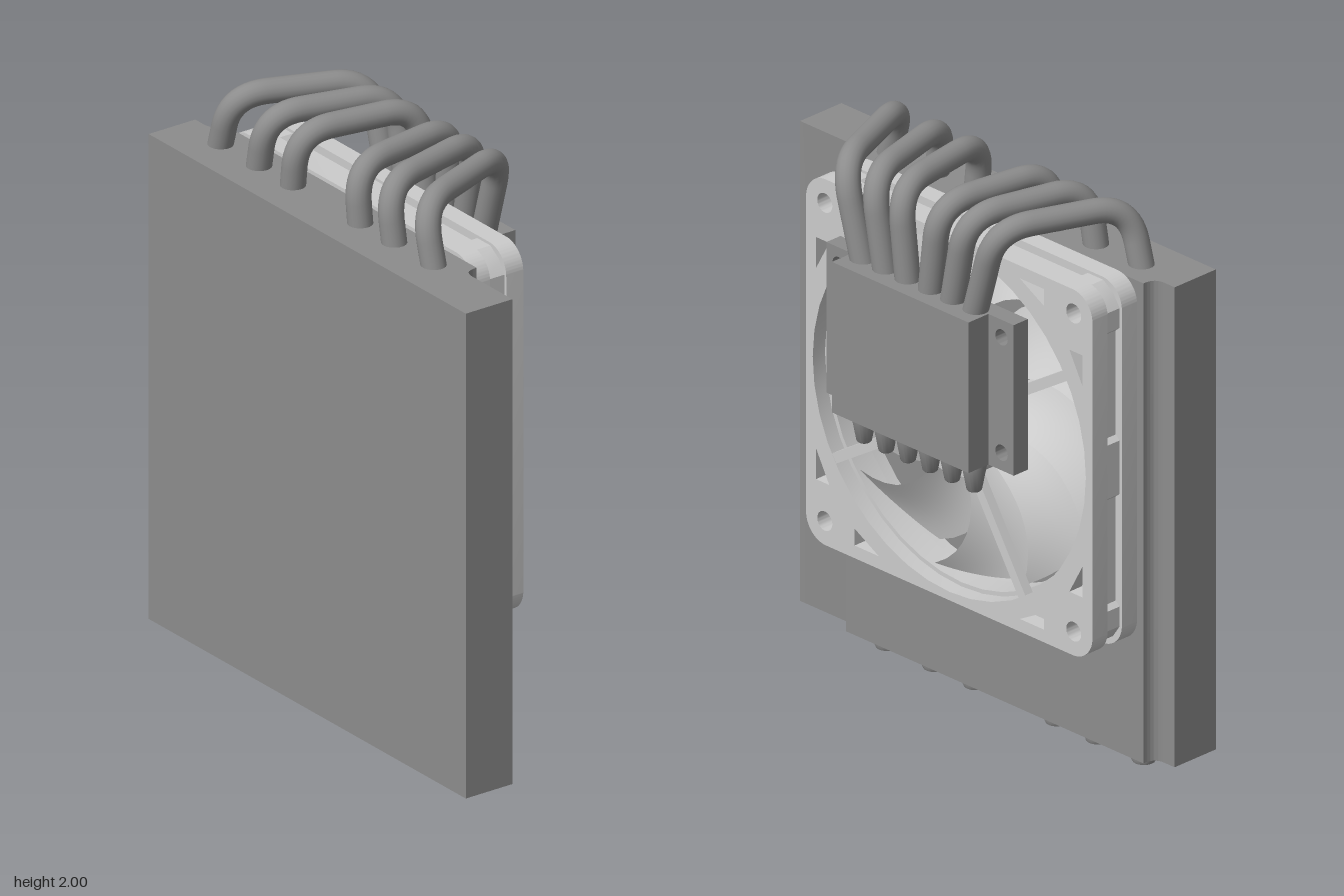
import * as THREE from 'three';
import { ParametricGeometry } from 'three/addons/geometries/ParametricGeometry.js';
import { toCreasedNormals } from 'three/addons/utils/BufferGeometryUtils.js';

const dark = new THREE.MeshStandardMaterial({ color: 0x8c8c8c });
const light = new THREE.MeshStandardMaterial({ color: 0xcccccc });
const thin = new THREE.MeshStandardMaterial({ color: 0xcccccc, side: THREE.DoubleSide });

const CX = -0.085; // shared centre line of the fan and the base

function add(parent, name, geometry, material, x = 0, y = 0, z = 0) {
  const mesh = new THREE.Mesh(geometry, material);
  mesh.name = name;
  mesh.position.set(x, y, z);
  parent.add(mesh);
  return mesh;
}

const extrude = (shape, depth) => toCreasedNormals(
  new THREE.ExtrudeGeometry(shape, { depth, bevelEnabled: false, curveSegments: 20 }), 0.5);

function circleHole(x, y, r) {
  return new THREE.Path().absarc(x, y, r, 0, Math.PI * 2, true);
}

function lathe(points) {
  return toCreasedNormals(new THREE.LatheGeometry(points.map(p => new THREE.Vector2(...p)), 20), 0.7);
}

// Fin stack: plan outline with a raised, filleted pad towards the fan
function finStack() {
  const s = new THREE.Shape();
  const f = 0.045;
  s.moveTo(-0.85, -0.33);
  s.lineTo(0.85, -0.33);
  s.lineTo(0.85, -0.145);
  s.lineTo(0.59 + f, -0.145);
  s.quadraticCurveTo(0.59, -0.145, 0.59, -0.145 + f);
  s.lineTo(0.59, -0.094);
  s.lineTo(-0.76, -0.094);
  s.lineTo(-0.76, -0.145 + f);
  s.quadraticCurveTo(-0.76, -0.145, -0.76 - f, -0.145);
  s.lineTo(-0.85, -0.145);
  return extrude(s, 1.705).rotateX(-Math.PI / 2);
}

// Heat pipe: straight runs joined by two soft bends
function pipeGeometry(xFin, xBase) {
  const at = (t, y, z) => new THREE.Vector3(xFin + (xBase - xFin) * t, y, z);
  const pts = [at(-0.02, 1.7, 0.19), at(0.2, 1.957, 0.19), at(0.71, 1.957, -0.245), at(1, 1.62, -0.245)];
  const path = new THREE.CurvePath();
  let from = pts[0];
  for (let i = 1; i < 3; i++) {
    const toward = q => pts[i].clone().add(q.clone().sub(pts[i]).setLength(0.125));
    const a = toward(pts[i - 1]), b = toward(pts[i + 1]);
    path.add(new THREE.LineCurve3(from, a));
    path.add(new THREE.QuadraticBezierCurve3(a, pts[i], b));
    from = b;
  }
  path.add(new THREE.LineCurve3(from, pts[3]));
  return new THREE.TubeGeometry(path, 56, 0.042, 18);
}

// Frame flange: rounded square with air opening, screw holes and corner pockets
function flangeShape() {
  const h = 0.65, r = 0.09;
  const s = new THREE.Shape();
  for (let i = 0; i < 4; i++) {
    const a = i * Math.PI / 2 + Math.PI / 4;
    const cx = Math.sign(Math.cos(a)) * (h - r), cy = Math.sign(Math.sin(a)) * (h - r);
    s.absarc(cx, cy, r, i * Math.PI / 2, (i + 1) * Math.PI / 2, false);
  }
  s.holes.push(circleHole(0, 0, 0.62));
  for (const sx of [-1, 1]) for (const sy of [-1, 1]) {
    s.holes.push(circleHole(sx * 0.565, sy * 0.565, 0.034));
    const pocket = [[0.605, 0.32], [0.605, 0.43], [0.545, 0.43]];
    for (const swap of [false, true]) {
      s.holes.push(new THREE.Path(pocket.map(([x, y]) => swap
        ? new THREE.Vector2(sx * y, sy * x) : new THREE.Vector2(sx * x, sy * y))));
    }
  }
  return s;
}

// Frame core: each side has two long slots, and the corners are cut back
function coreShape() {
  const side = [[0.64, -0.565], [0.64, -0.495], [0.622, -0.48], [0.622, -0.11], [0.64, -0.095],
    [0.64, 0.095], [0.622, 0.11], [0.622, 0.48], [0.64, 0.495], [0.64, 0.565], [0.61, 0.61]];
  const pts = [];
  for (let i = 0; i < 4; i++) {
    for (const p of side) {
      pts.push(new THREE.Vector2(...p).rotateAround(new THREE.Vector2(), i * Math.PI / 2));
    }
  }
  const s = new THREE.Shape(pts);
  s.holes.push(circleHole(0, 0, 0.605));
  for (const x of [-0.565, 0.565]) for (const y of [-0.565, 0.565]) s.holes.push(circleHole(x, y, 0.034));
  return s;
}

function buildFan() {
  const fan = new THREE.Group();
  fan.name = 'fan';
  for (const [name, z] of [['frontFlange', 0.032], ['backFlange', -0.1]]) {
    add(fan, name, extrude(flangeShape(), 0.068), light, 0, 0, z);
  }
  add(fan, 'frameCore', extrude(coreShape(), 0.09), light, 0, 0, -0.045);

  // Swept, twisted blades
  const blade = new ParametricGeometry((u, v, target) => {
    const r = 0.17 + 0.42 * u;
    const a = (v - 0.5) * (0.62 - 0.06 * u) + 0.45 * u * u;
    const z = (0.5 - v) * (0.13 - 0.03 * u) + 0.012 * Math.sin(v * Math.PI) + 0.005;
    target.set(r * Math.cos(a), r * Math.sin(a), z);
  }, 10, 10);
  const rotor = new THREE.Group();
  rotor.name = 'rotor';
  fan.add(rotor);
  for (let i = 0; i < 9; i++) add(rotor, 'blade', blade, thin).rotation.z = i * Math.PI * 2 / 9;
  const hub = lathe([[0, -0.062], [0.2, -0.062], [0.2, 0.06], [0.185, 0.078], [0, 0.078]]).rotateX(Math.PI / 2);
  add(rotor, 'hub', hub, light);

  // Motor mount carried by four struts on the back
  const mount = new THREE.CylinderGeometry(0.2, 0.2, 0.03, 40).rotateX(Math.PI / 2);
  add(fan, 'motorMount', mount, light, 0, 0, -0.085);
  for (let i = 0; i < 4; i++) {
    const strut = new THREE.BoxGeometry(0.45, 0.035, 0.034).translate(0.405, 0, -0.082);
    add(fan, 'strut', strut, light).rotation.z = 1.01 + i * Math.PI / 2;
  }
  fan.position.set(CX, 1.125, -0.01);
  return fan;
}

// Contact base: holed mounting plate with a thicker cover block behind it
function buildBase() {
  const base = new THREE.Group();
  base.name = 'base';
  const plate = new THREE.Shape();
  const w = 0.425, h = 0.2675;
  plate.moveTo(-w, -h);
  plate.lineTo(w, -h);
  plate.lineTo(w, h);
  plate.lineTo(-w, h);
  for (const x of [-0.37, 0.37]) for (const y of [-0.205, 0.205]) plate.holes.push(circleHole(x, y, 0.028));
  add(base, 'mountingPlate', extrude(plate, 0.063), dark, 0, 0, -0.241);
  add(base, 'coverBlock', new THREE.BoxGeometry(0.62, 2 * h, 0.09), dark, 0, 0, -0.285);
  base.position.set(CX, 1.3775, 0);
  return base;
}

export function createModel() {
  const model = new THREE.Group();
  model.name = 'tower cooler';
  add(model, 'finStack', finStack(), dark, 0, 0.06, 0);
  model.add(buildFan(), buildBase());

  // Pipes, with rounded ends below the fins and tapered tips below the base
  const roundEnd = lathe([[0, 0], [0.025, 0], [0.037, 0.006], [0.042, 0.018], [0.042, 0.07]]);
  const taperTip = lathe([[0, 0], [0.02, 0], [0.025, 0.005], [0.041, 0.09], [0.042, 0.13]]);
  [-0.665, -0.455, -0.27, 0.1, 0.285, 0.5].forEach((x, i) => {
    const xBase = CX + (i - 2.5) * 0.1;
    add(model, 'heatPipe', pipeGeometry(x, xBase), dark);
    add(model, 'pipeEnd', roundEnd, dark, x, 0, 0.19);
    add(model, 'pipeTip', taperTip, dark, xBase, 1, -0.245);
  });
  return model;
}
